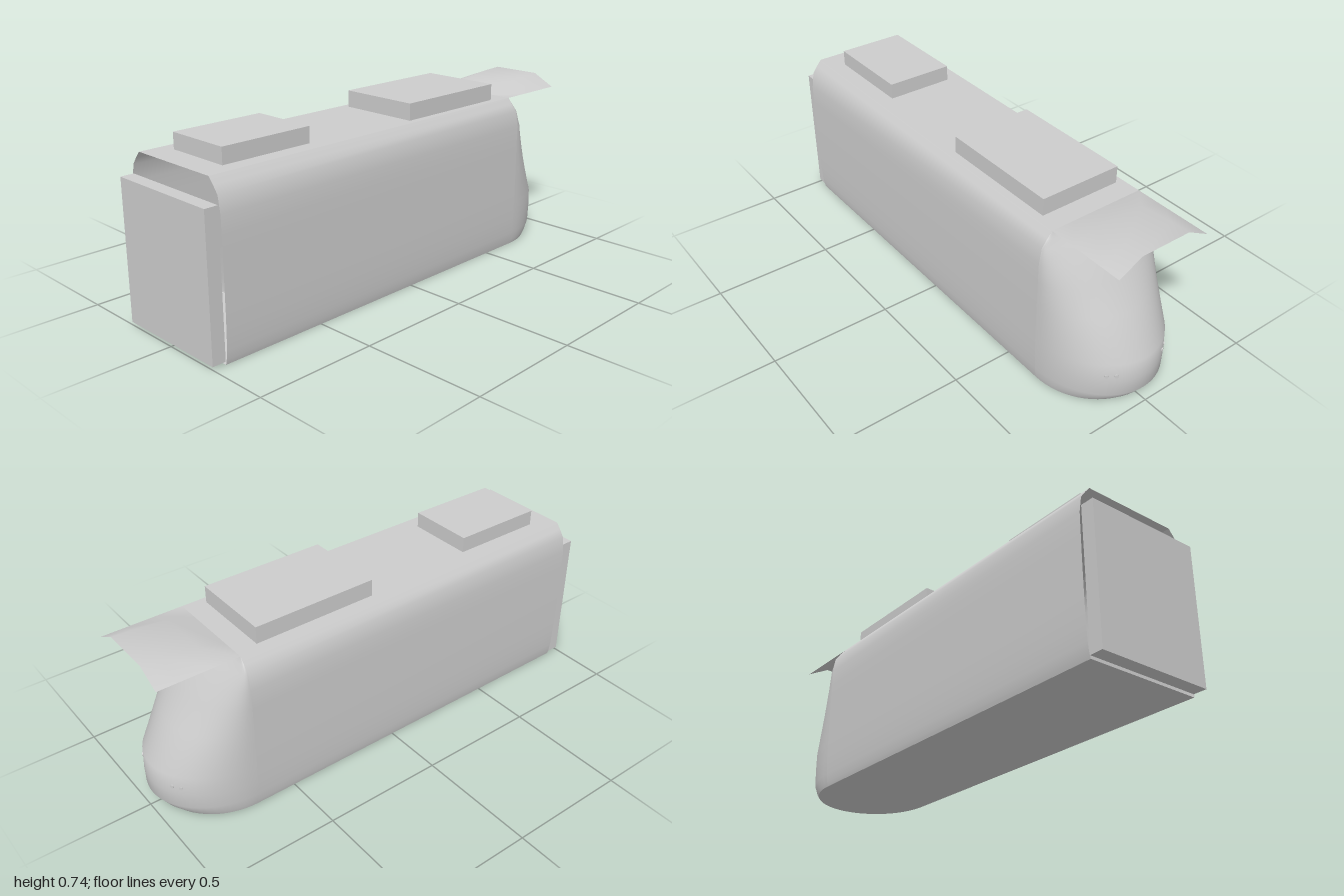
import * as THREE from 'three';

const FRONT = 0.945, SHOULDER = -0.67;

// Hull levels: height, half width, z of the nose tip
const LEVELS = [
  [0, 0.248, -0.94], [0.02, 0.253, -0.96], [0.055, 0.257, -0.984], [0.12, 0.26, -0.985],
  [0.2, 0.261, -0.98], [0.36, 0.261, -0.886], [0.47, 0.26, -0.822], [0.55, 0.259, -0.775],
  [0.615, 0.248, -0.722], [0.645, 0.226, -0.695], [0.67, 0.205, -0.671],
];

// Smooth surface from a grid of points: point(i, j) -> [x, y, z]
function grid(nu, nv, point) {
  const pos = [], index = [];
  for (let j = 0; j <= nv; j++) for (let i = 0; i <= nu; i++) pos.push(...point(i, j));
  for (let j = 0; j < nv; j++) for (let i = 0; i < nu; i++) {
    const a = j * (nu + 1) + i, b = a + 1, c = b + nu + 1, d = a + nu + 1;
    index.push(a, b, c, a, c, d);
  }
  const g = new THREE.BufferGeometry();
  g.setAttribute('position', new THREE.Float32BufferAttribute(pos, 3));
  g.setIndex(index);
  g.computeVertexNormals();
  return g;
}

// Half-ellipse nose outline at one level, t from 0 (+x) to 1 (-x)
function nosePoint([y, w, tip], t) {
  const a = t * Math.PI;
  return [w * Math.cos(a), y, SHOULDER + (tip - SHOULDER) * Math.sin(a)];
}

export function createModel() {
  const model = new THREE.Group();
  model.name = 'railCar';
  const grey = new THREE.MeshStandardMaterial({ color: 0xcccccc, side: THREE.DoubleSide });
  grey.name = 'lightGrey';
  const add = (name, geometry, x = 0, y = 0, z = 0) => {
    const m = new THREE.Mesh(geometry, grey);
    m.name = name;
    m.position.set(x, y, z);
    model.add(m);
    return m;
  };
  const box = (name, x0, x1, y0, y1, z0, z1) =>
    add(name, new THREE.BoxGeometry(x1 - x0, y1 - y0, z1 - z0), (x0 + x1) / 2, (y0 + y1) / 2, (z0 + z1) / 2);

  // Side walls curving into the roof
  const rows = LEVELS.length - 1;
  add('leftWall', grid(1, rows, (i, j) => [LEVELS[j][1], LEVELS[j][0], i ? SHOULDER : FRONT]));
  add('rightWall', grid(1, rows, (i, j) => [-LEVELS[j][1], LEVELS[j][0], i ? FRONT : SHOULDER]));

  // Rounded, raked nose
  add('nose', grid(32, rows, (i, j) => nosePoint(LEVELS[j], i / 32)));

  // Flat roof and floor
  const roof = new THREE.PlaneGeometry(0.41, FRONT - SHOULDER).rotateX(-Math.PI / 2);
  add('roof', roof, 0, 0.67, (FRONT + SHOULDER) / 2);
  const outline = [new THREE.Vector2(0.248, FRONT)];
  for (let i = 0; i <= 32; i++) {
    const [x, , z] = nosePoint(LEVELS[0], i / 32);
    outline.push(new THREE.Vector2(x, z));
  }
  outline.push(new THREE.Vector2(-0.248, FRONT));
  add('floor', new THREE.ShapeGeometry(new THREE.Shape(outline)).rotateX(Math.PI / 2));

  // End gangway and roof units
  box('gangway', -0.25, 0.247, 0.012, 0.58, FRONT, 1);
  box('smallRoofUnit', -0.143, 0.14, 0.67, 0.735, 0.445, 0.84);
  box('largeRoofUnit', -0.175, 0.174, 0.67, 0.74, -0.583, -0.06);

  // Arched visor over the nose
  const visorX = [-0.205, -0.108, 0.108, 0.205];
  const visorZ = [[-0.67, 0], [-0.78, 0.034], [-0.92, 0.048], [-1, 0.051]];
  add('visor', grid(3, 3, (i, j) =>
    [visorX[i], 0.67 + (i === 1 || i === 2 ? visorZ[j][1] : 0), visorZ[j][0]]));

  // Paired small lamps on the nose
  for (const side of [-1, 1]) for (const x of [0.115, 0.145]) {
    const depth = 0.315, w = 0.26;
    const z = SHOULDER - depth * Math.sqrt(1 - (x / w) ** 2);
    const normal = new THREE.Vector3(side * x / w ** 2, 0, (z - SHOULDER) / depth ** 2).normalize();
    const lamp = add('lamp', new THREE.CylinderGeometry(0.008, 0.008, 0.004, 12), side * x, 0.15, z);
    lamp.quaternion.setFromUnitVectors(new THREE.Vector3(0, 1, 0), normal);
  }
  return model;
}
